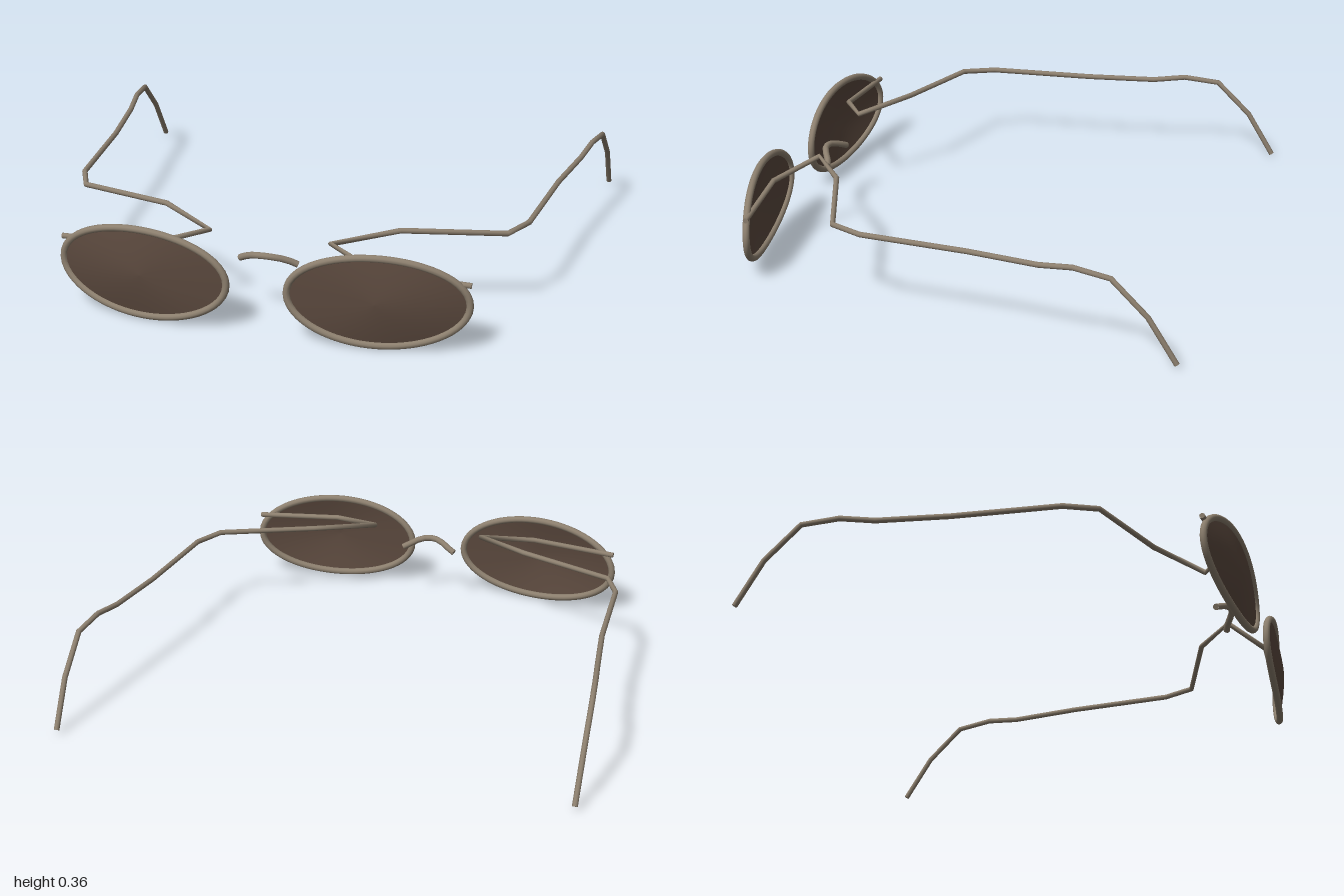
import * as THREE from 'three';

const metal = new THREE.MeshStandardMaterial({ color: 0x8c7f6e });
metal.name = 'dull bronze metal';
const tint = new THREE.MeshStandardMaterial({ color: 0x5a483d, side: THREE.DoubleSide });
tint.name = 'brown lens tint';

const CX = 0.44, CY = 0.188, RX = 0.327, RY = 0.169;

// Depth of the wrapped rim; t runs from -1 at the nose to 1 at the temple
const rimZ = (t) => 0.855 - 0.0365 * t - 0.0235 * t * t;

// Straight-segment path whose rings lie on the corners, facing the averaged direction
class Polyline extends THREE.Curve {
  constructor(points) {
    super();
    this.points = points;
  }
  getPoint(u, target = new THREE.Vector3()) {
    const n = this.points.length - 1;
    const i = Math.min(Math.floor(u * n + 1e-6), n - 1);
    return target.lerpVectors(this.points[i], this.points[i + 1], u * n - i);
  }
  getPointAt(u, target) {
    return this.getPoint(u, target);
  }
  getTangentAt(u, target = new THREE.Vector3()) {
    const p = this.points, n = p.length - 1, i = Math.round(u * n);
    target.set(0, 0, 0);
    if (i > 0) target.add(p[i].clone().sub(p[i - 1]).normalize());
    if (i < n) target.add(p[i + 1].clone().sub(p[i]).normalize());
    return target.normalize();
  }
}

// Wire with flat end caps
function wire(name, points, radius) {
  const group = new THREE.Group();
  group.name = name;
  const path = new Polyline(points);
  group.add(new THREE.Mesh(new THREE.TubeGeometry(path, points.length - 1, radius, 10), metal));
  for (const u of [0, 1]) {
    const cap = new THREE.Mesh(new THREE.CircleGeometry(radius, 10), metal);
    const outward = path.getTangentAt(u).multiplyScalar(u ? 1 : -1);
    cap.position.copy(path.getPoint(u));
    cap.quaternion.setFromUnitVectors(new THREE.Vector3(0, 0, 1), outward);
    group.add(cap);
  }
  group.children.forEach((m, i) => { m.name = i ? name + 'Cap' : name + 'Rod'; });
  return group;
}

// Oval rim following the wrap
function makeRim(s) {
  const points = [];
  for (let i = 0; i < 48; i++) {
    const a = (i / 48) * Math.PI * 2;
    points.push(new THREE.Vector3(s * CX + RX * Math.cos(a), CY + RY * Math.sin(a), rimZ(s * Math.cos(a))));
  }
  const curve = new THREE.CatmullRomCurve3(points, true);
  return new THREE.Mesh(new THREE.TubeGeometry(curve, 64, 0.0135, 10, true), metal);
}

// Shallow domed lens filling the rim
function makeLens(s) {
  const geo = new THREE.RingGeometry(0.001, 1, 48, 6);
  const pos = geo.attributes.position;
  for (let i = 0; i < pos.count; i++) {
    const x = pos.getX(i), y = pos.getY(i), r = Math.hypot(x, y);
    const z = 0.88 + (rimZ((s * x) / r) - 0.88) * Math.pow(r, 1.5);
    pos.setXYZ(i, s * CX + RX * x, CY + RY * y, z);
  }
  geo.computeVertexNormals();
  return new THREE.Mesh(geo, tint);
}

// Folded hinge wire, long arm and drooping ear hook
const TEMPLE = [
  [0.77, 0.268, 0.793], [0.43, 0.285, 0.815], [0.23, 0.32, 0.7], [0.45, 0.336, 0.55],
  [0.82, 0.32, 0.432], [0.875, 0.32, 0.31], [0.906, 0.32, -0.1], [0.945, 0.32, -0.37],
  [0.966, 0.336, -0.5], [0.984, 0.32, -0.64], [0.988, 0.19, -0.775], [0.985, 0.022, -0.88],
];

const BRIDGE = [
  [-0.11, 0.23, 0.714], [-0.085, 0.243, 0.722], [-0.055, 0.257, 0.739], [-0.025, 0.265, 0.752],
  [0, 0.267, 0.755], [0.025, 0.265, 0.752], [0.055, 0.257, 0.739], [0.085, 0.243, 0.722], [0.11, 0.23, 0.714],
];

export function createModel() {
  const model = new THREE.Group();
  model.name = 'sunglasses';
  for (const [side, s] of [['left', 1], ['right', -1]]) {
    const rim = makeRim(s);
    rim.name = side + 'Rim';
    const lens = makeLens(s);
    lens.name = side + 'Lens';
    const points = TEMPLE.map(([x, y, z]) => new THREE.Vector3(s * x, y, z));
    model.add(rim, lens, wire(side + 'Temple', points, 0.0105));
  }
  model.add(wire('bridge', BRIDGE.map((p) => new THREE.Vector3(...p)), 0.0125));
  return model;
}
